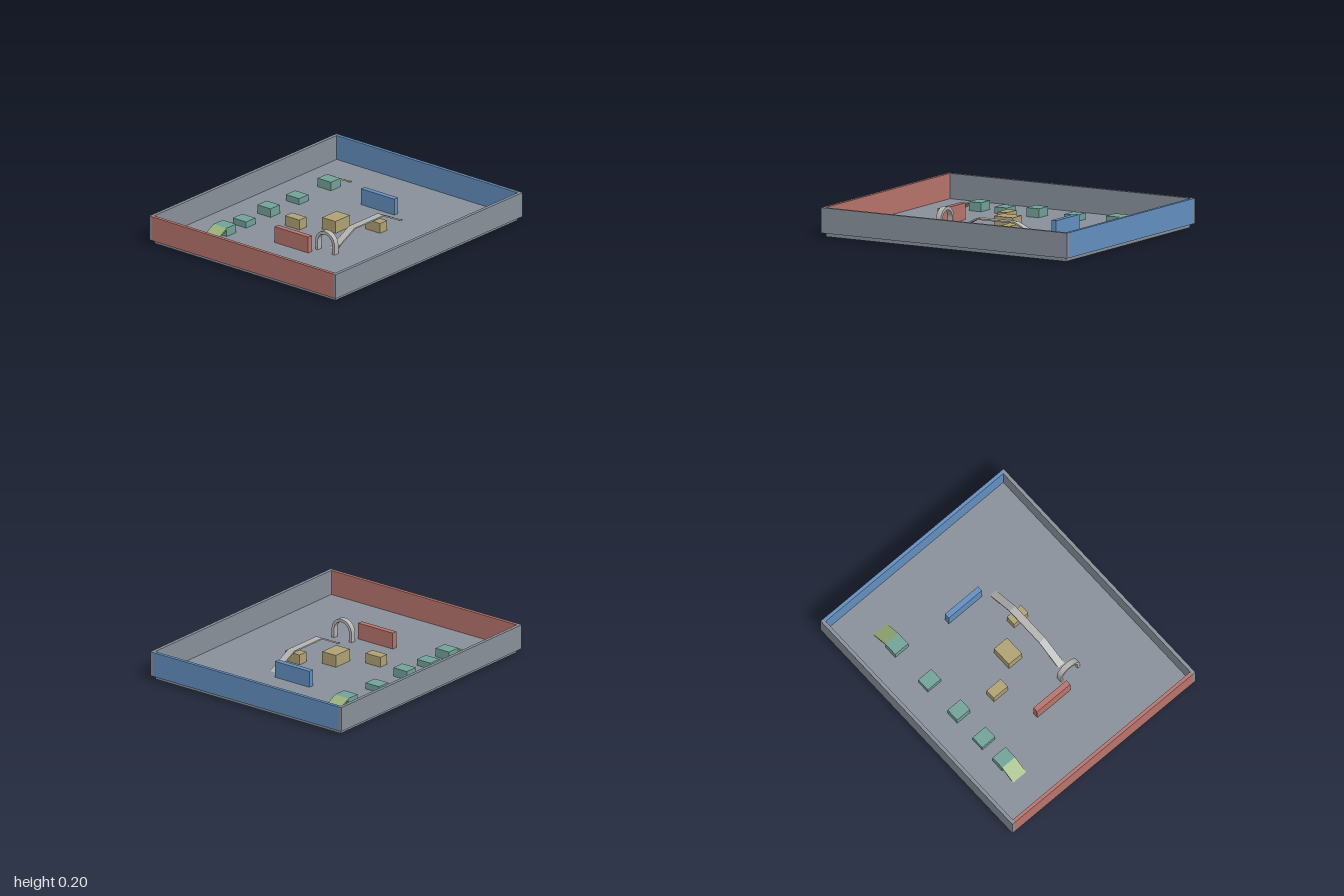
import * as THREE from 'three';

const mat = (name, color) => {
  const m = new THREE.MeshStandardMaterial({ color });
  m.name = name;
  return m;
};

export function createModel() {
  const model = new THREE.Group();
  model.name = 'arena';
  const grey = mat('slate grey', 0x88909a);
  const red = mat('brick red', 0xb8746c);
  const blue = mat('steel blue', 0x638fc0);
  const tan = mat('sand', 0xb0a274);
  const teal = mat('teal', 0x72a298);
  const lime = mat('pale lime', 0x9cb47c);
  const light = mat('light grey', 0xb4b4b2);
  const FLOOR = 0.027;

  const add = (name, geometry, material) => {
    const mesh = new THREE.Mesh(geometry, material);
    mesh.name = name;
    model.add(mesh);
    return mesh;
  };
  // Box from its footprint centre, size and vertical extent
  const box = (name, material, x, z, w, d, y0, y1) => {
    const mesh = add(name, new THREE.BoxGeometry(w, y1 - y0, d), material);
    mesh.position.set(x, (y0 + y1) / 2, z);
    return mesh;
  };
  // Thin sloping plate whose top surface runs from (z0, y0) to (z1, y1)
  const ramp = (name, material, x, w, z0, y0, z1, y1) => {
    const t = 0.01;
    const angle = Math.atan2(y1 - y0, z1 - z0);
    const mesh = add(name, new THREE.BoxGeometry(w, t, Math.hypot(z1 - z0, y1 - y0)), material);
    mesh.rotation.x = -angle;
    mesh.position.set(x, (y0 + y1) / 2 - t / 2 * Math.cos(angle), (z0 + z1) / 2 + t / 2 * Math.sin(angle));
    return mesh;
  };

  // Floor and surrounding walls
  box('floor', grey, 0, 0, 1.64, 1.95, 0, FLOOR);
  for (const s of [-1, 1]) box('sideWall', grey, s * 0.8325, 0, 0.025, 2, FLOOR, 0.205);
  box('frontWall', red, 0, 0.9875, 1.64, 0.025, FLOOR, 0.205);
  box('backWall', blue, 0, -0.9875, 1.64, 0.025, FLOOR, 0.205);

  // Goal barriers
  box('frontBarrier', red, 0, 0.457, 0.305, 0.04, FLOOR, 0.145);
  box('backBarrier', blue, 0, -0.465, 0.305, 0.04, FLOOR, 0.145);

  // Central obstacles
  box('centreBlock', tan, 0, 0, 0.12, 0.155, FLOOR, 0.115);
  box('leftBlock', tan, 0.23, -0.16, 0.13, 0.075, FLOOR, 0.1);
  box('rightBlock', tan, -0.235, 0.153, 0.13, 0.075, FLOOR, 0.1);

  // Row of stepping blocks, alternating tall and low, with end ramps
  [-0.555, -0.215, 0.091, 0.352, 0.56].forEach((z, i) =>
    box('steppingBlock', teal, -0.534, z, 0.12, 0.1, FLOOR, i % 2 ? 0.072 : 0.09));
  ramp('backStepRamp', lime, -0.534, 0.12, -0.732, FLOOR, -0.605, 0.09);
  ramp('frontStepRamp', lime, -0.534, 0.12, 0.61, 0.09, 0.725, FLOOR);

  // Raised bridge
  box('bridgeDeck', light, 0.228, -0.055, 0.055, 0.31, 0.115, 0.125);
  ramp('bridgeBackRamp', light, 0.228, 0.055, -0.415, FLOOR, -0.21, 0.125);
  ramp('bridgeFrontRamp', light, 0.228, 0.055, 0.1, 0.125, 0.3, FLOOR);

  // Round-topped arch on straight legs
  const R = 0.0875, r = 0.066, spring = 0.092;
  const shape = new THREE.Shape();
  shape.moveTo(R, FLOOR);
  shape.lineTo(R, spring);
  shape.absarc(0, spring, R, 0, Math.PI, false);
  shape.lineTo(-R, FLOOR);
  shape.lineTo(-r, FLOOR);
  shape.lineTo(-r, spring);
  shape.absarc(0, spring, r, Math.PI, 0, true);
  shape.lineTo(r, FLOOR);
  const arch = add('arch', new THREE.ExtrudeGeometry(shape, { depth: 0.04, bevelEnabled: false, curveSegments: 24 }), light);
  arch.position.set(0.23, 0, 0.35);

  return model;
}
